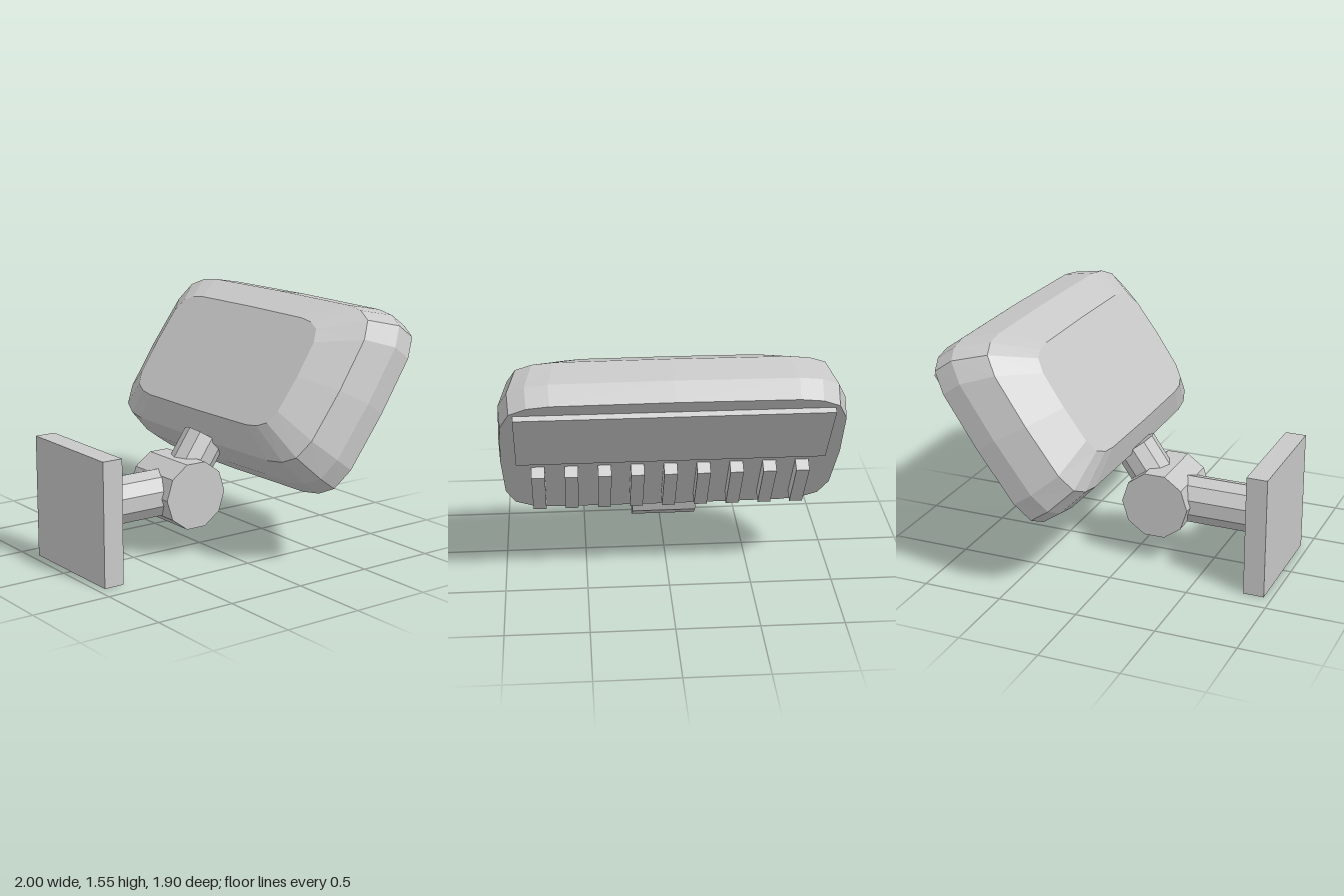
import * as THREE from 'three';

export function createModel() {
  const model = new THREE.Group();
  const grey = new THREE.MeshStandardMaterial({ color: 0xc8c8c8, flatShading: true });
  grey.name = 'light grey';

  const add = (parent, name, geometry, x = 0, y = 0, z = 0) => {
    const mesh = new THREE.Mesh(geometry, grey);
    mesh.name = name;
    mesh.position.set(x, y, z);
    parent.add(mesh);
    return mesh;
  };

  // Wall plate and the horizontal arm
  add(model, 'wallPlate', new THREE.BoxGeometry(0.755, 0.76, 0.13), 0, 0.38, 0.885);
  const armLength = 0.62;
  // a corner of the decagon points straight up
  const armGeometry = new THREE.CylinderGeometry(0.15, 0.15, armLength, 10).rotateX(Math.PI / 2);
  add(model, 'arm', armGeometry, 0, 0.385, 0.83 - armLength / 2);

  // Pivot knuckle, with its axis across the model
  const knuckle = new THREE.CylinderGeometry(0.215, 0.215, 0.4, 10).rotateZ(Math.PI / 2);
  knuckle.rotateX(0);
  add(model, 'knuckle', knuckle, 0, 0.385, 0.17);

  // Everything above the knuckle leans back by 35 degrees
  const head = new THREE.Group();
  head.name = 'tiltingHead';
  head.position.set(0, 0.385, 0.17);
  head.rotation.x = THREE.MathUtils.degToRad(-35);
  model.add(head);

  add(head, 'neck', new THREE.CylinderGeometry(0.135, 0.135, 0.364, 10), 0, 0.182, 0);
  add(head, 'lampHousing', housingGeometry());

  // Raised panel on the back
  add(head, 'backPanel', new THREE.BoxGeometry(1.8, 0.5, 0.055), 0, 1.15, -0.328);

  // Row of cooling fins below the panel
  const fin = new THREE.BoxGeometry(0.078, 0.39, 0.1);
  for (let i = -4; i <= 4; i++) add(head, 'coolingFin', fin, i * 0.194, 0.617, -0.347);

  return model;
}

// Rounded-rectangle cross-sections lofted from back to front
function housingGeometry() {
  const quarter = [[1, 0], [0.985, 0.63], [0.93, 0.86], [0.83, 0.955], [0.7, 0.99], [0, 1]];
  const half = [...quarter, ...quarter.slice(0, -1).reverse().map(([x, y]) => [-x, y])];
  const outline = [...half, ...half.slice(1, -1).reverse().map(([x, y]) => [x, -y])];
  // half width, half height, centre height, depth
  const sections = [
    [0.99, 0.6, 0.9, -0.322],
    [1, 0.6, 0.9, -0.18],
    [0.95, 0.535, 0.875, 0.02],
    [0.72, 0.369, 0.846, 0.162],
  ];
  const positions = [];
  const index = [];
  const n = outline.length;
  for (const [w, h, cy, z] of sections) {
    for (const [x, y] of outline) positions.push(x * w, cy + y * h, z);
  }
  for (let s = 0; s < sections.length - 1; s++) {
    for (let i = 0; i < n; i++) {
      const a = s * n + i;
      const b = s * n + ((i + 1) % n);
      index.push(a, b, b + n, a, b + n, a + n);
    }
  }
  // Flat back and front faces
  const front = (sections.length - 1) * n;
  for (let i = 1; i < n - 1; i++) {
    index.push(0, i + 1, i);
    index.push(front, front + i, front + i + 1);
  }
  const geometry = new THREE.BufferGeometry();
  geometry.setAttribute('position', new THREE.Float32BufferAttribute(positions, 3));
  geometry.setIndex(index);
  const flat = geometry.toNonIndexed();
  flat.computeVertexNormals();
  return flat;
}
